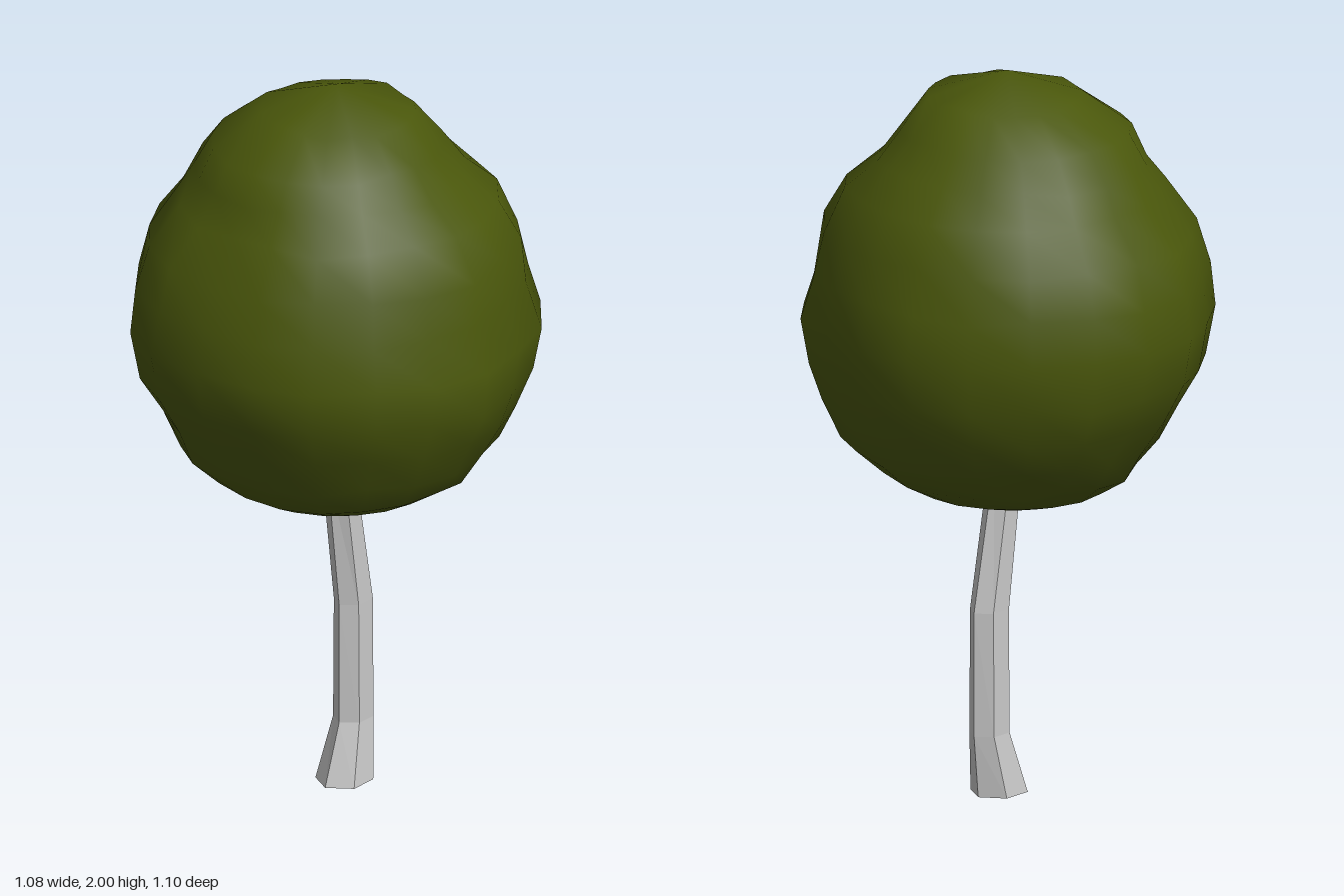
import * as THREE from 'three';

// Closed skin over rings of points, listed from top to bottom, with a pole at each end.
function loft(rings, top, bottom) {
  const n = rings[0].length;
  const pos = [...top, ...rings.flat(2), ...bottom];
  const last = rings.length * n + 1;
  const at = (i, j) => 1 + i * n + (j % n);
  const index = [];
  for (let j = 0; j < n; j++) {
    index.push(0, at(0, j + 1), at(0, j));
    for (let i = 0; i < rings.length - 1; i++) {
      const a = at(i, j), b = at(i, j + 1), c = at(i + 1, j), d = at(i + 1, j + 1);
      index.push(a, b, c, b, d, c);
    }
    index.push(at(rings.length - 1, j), at(rings.length - 1, j + 1), last);
  }
  const g = new THREE.BufferGeometry();
  g.setAttribute('position', new THREE.Float32BufferAttribute(pos, 3));
  g.setIndex(index);
  g.computeVertexNormals();
  return g;
}

// Crown levels: height, then radius towards +x, +z, -x, -z
const LEVELS = [
  [1.93, 0.20, 0.22, 0.20, 0.20],
  [1.84, 0.285, 0.285, 0.33, 0.325],
  [1.76, 0.35, 0.345, 0.36, 0.39],
  [1.68, 0.43, 0.435, 0.41, 0.42],
  [1.57, 0.475, 0.50, 0.485, 0.51],
  [1.45, 0.505, 0.505, 0.515, 0.54],
  [1.33, 0.535, 0.55, 0.54, 0.55],
  [1.20, 0.51, 0.53, 0.515, 0.525],
  [1.10, 0.485, 0.48, 0.46, 0.475],
  [1.00, 0.445, 0.425, 0.43, 0.40],
  [0.92, 0.36, 0.365, 0.355, 0.35],
  [0.865, 0.265, 0.265, 0.26, 0.285],
  [0.83, 0.155, 0.165, 0.175, 0.18],
];

// Widest reach of the crown, stepping round from +x towards +z
const REACH = [
  0.545, 0.535, 0.562, 0.548, 0.535, 0.555, 0.538, 0.558, 0.566, 0.561,
  0.545, 0.575, 0.57, 0.545, 0.57, 0.56, 0.575, 0.566, 0.555, 0.555,
];

function crownGeometry() {
  let seed = 7;
  const rand = () => (seed = (seed * 16807) % 2147483647) / 2147483647 - 0.5;
  const rings = LEVELS.map(([y, ...r], i) =>
    REACH.map((reach, j) => {
      const a = (j / REACH.length) * Math.PI * 2;
      const k = Math.floor(j / 5), t = (j % 5) / 5;
      const side = THREE.MathUtils.lerp(r[k], r[(k + 1) % 4], t);
      const outer = THREE.MathUtils.lerp(REACH[k * 5], REACH[((k + 1) * 5) % 20], t);
      // uneven outline, strongest at the widest levels, with slight ridges
      const bulge = (reach / outer - 1) * Math.min(1, (side / 0.53) ** 3);
      const radius = side * (1 + bulge * 0.7 + 0.02 * rand());
      const lift = i < LEVELS.length - 2 ? 0.02 * rand() : 0;
      return [Math.cos(a) * radius, y + lift, Math.sin(a) * radius];
    }));
  return loft(rings, [0, 1.998, 0], [0, 0.815, 0]);
}

// Trunk sections: height, centre x and z, radius in x and z
const SECTIONS = [
  [0.92, -0.016, 0.02, 0.046, 0.044],
  [0.51, 0.043, 0.022, 0.06, 0.047],
  [0.17, 0.045, 0.02, 0.06, 0.05],
  [0, 0.01, 0.02, 0.082, 0.074],
];

function trunkGeometry() {
  const rings = SECTIONS.map(([y, cx, cz, rx, rz]) =>
    Array.from({ length: 6 }, (_, j) => {
      const a = 0.96 + (j * Math.PI) / 3;
      return [cx + Math.cos(a) * rx, y, cz + Math.sin(a) * rz];
    }));
  return loft(rings, [-0.016, 0.92, 0.02], [0.01, 0, 0.02]);
}

export function createModel() {
  const foliage = new THREE.MeshStandardMaterial({ color: 0x4a570b });
  foliage.name = 'leaf green';
  const bark = new THREE.MeshStandardMaterial({ color: 0xc8c8c8, flatShading: true });
  bark.name = 'bark grey';

  const crown = new THREE.Mesh(crownGeometry(), foliage);
  crown.name = 'crown';
  const trunk = new THREE.Mesh(trunkGeometry(), bark);
  trunk.name = 'trunk';

  const tree = new THREE.Group();
  tree.name = 'tree';
  tree.add(crown, trunk);
  return tree;
}
